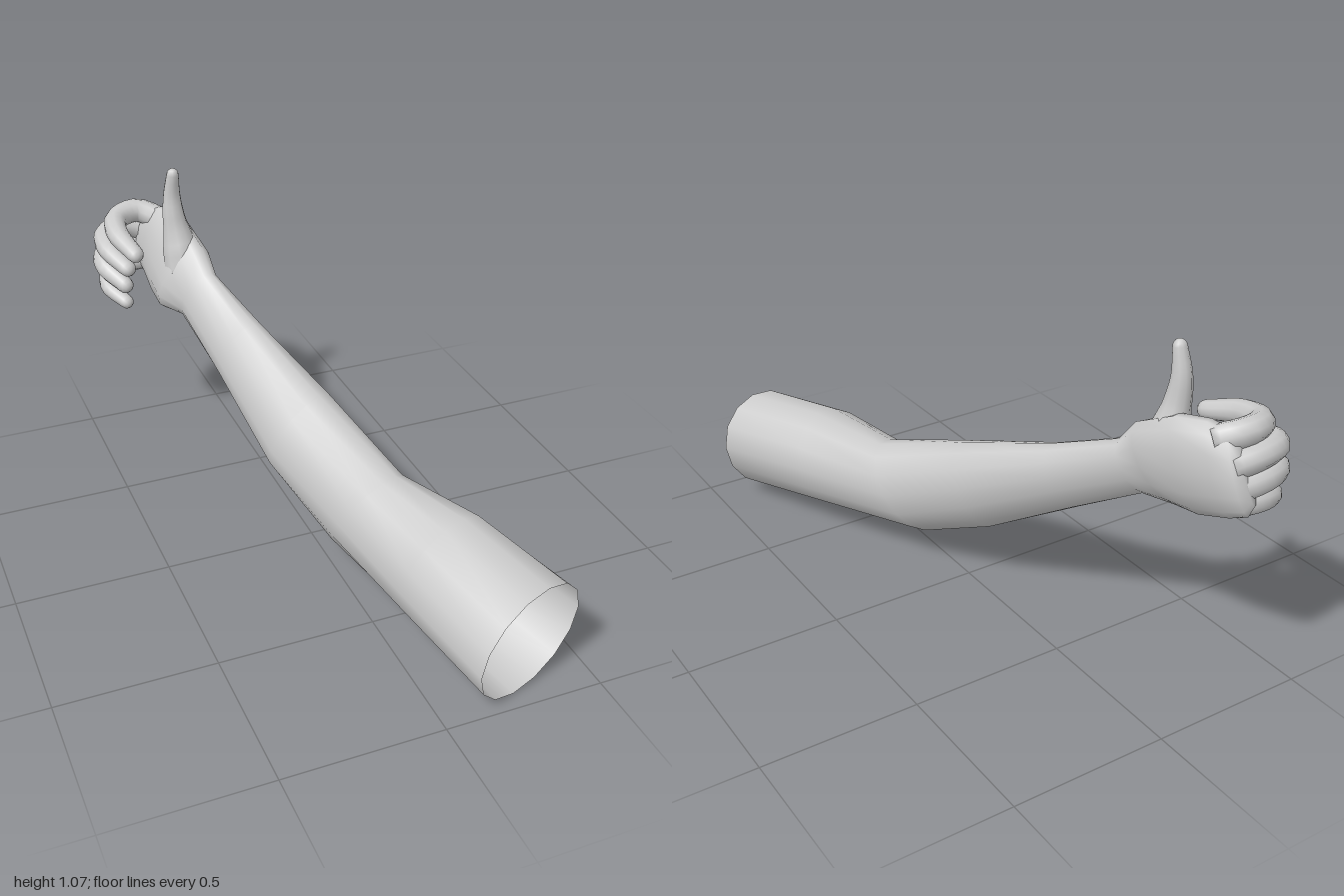
import * as THREE from 'three';

const material = new THREE.MeshStandardMaterial({ color: 0xcccccc, side: THREE.DoubleSide });

// Skin through elliptical rings: each ring is [centre, side half-axis, up half-axis]
function loft(rings, sides, capStart, capEnd) {
  const pos = [], idx = [];
  for (const [c, s, u] of rings) {
    for (let j = 0; j < sides; j++) {
      const a = (j / sides) * Math.PI * 2, ca = Math.cos(a), sa = Math.sin(a);
      for (let k = 0; k < 3; k++) pos.push(c[k] + s[k] * ca + u[k] * sa);
    }
  }
  for (let i = 0; i < rings.length - 1; i++) {
    for (let j = 0; j < sides; j++) {
      const a = i * sides + j, b = i * sides + (j + 1) % sides;
      idx.push(a, a + sides, b, b, a + sides, b + sides);
    }
  }
  const cap = (ring, flip) => {
    const centre = pos.length / 3;
    pos.push(...rings[ring][0]);
    for (let j = 0; j < sides; j++) {
      const a = ring * sides + j, b = ring * sides + (j + 1) % sides;
      idx.push(centre, flip ? a : b, flip ? b : a);
    }
  };
  if (capStart) cap(0, true);
  if (capEnd) cap(rings.length - 1, false);
  const geo = new THREE.BufferGeometry();
  geo.setAttribute('position', new THREE.Float32BufferAttribute(pos, 3));
  geo.setIndex(idx);
  geo.computeVertexNormals();
  return geo;
}

// Tapering digit along a curve, with a rounded tip
function digit(points, radii, sides = 10, steps = 16) {
  const curve = new THREE.CatmullRomCurve3(points.map(p => new THREE.Vector3(...p)));
  const ts = [];
  for (let i = 0; i <= steps; i++) ts.push(i / steps);
  const frames = curve.computeFrenetFrames(steps, false);
  const rings = ts.map((t, i) => {
    const f = t * (radii.length - 1), k = Math.min(Math.floor(f), radii.length - 2);
    const r = THREE.MathUtils.lerp(radii[k], radii[k + 1], f - k);
    return [curve.getPointAt(t).toArray(),
      frames.normals[i].clone().multiplyScalar(r).toArray(),
      frames.binormals[i].clone().multiplyScalar(-r).toArray()];
  });
  // shrinking rings beyond the end round off the tip
  const [c, s, u] = rings[steps], dir = frames.tangents[steps].toArray();
  const r = radii[radii.length - 1];
  for (const a of [0.5, 0.95, 1.3]) {
    rings.push([c.map((v, k) => v + dir[k] * r * Math.sin(a)),
      s.map(v => v * Math.cos(a)), u.map(v => v * Math.cos(a))]);
  }
  return loft(rings, sides, true, true);
}

export function createModel() {
  const model = new THREE.Group();
  model.name = 'armWithRaisedThumb';
  const add = (name, geo) => {
    const mesh = new THREE.Mesh(geo, material);
    mesh.name = name;
    model.add(mesh);
  };

  // Open upper arm, elbow, forearm, wrist and palm in one skin
  add('armAndPalm', loft([
    [[0.285, 0.18, 0.945], [0.185, 0.03, -0.055], [0, 0.178, 0.015]],
    [[0.185, 0.23, 0.59], [0.167, 0.02, -0.05], [0.01, 0.17, 0.035]],
    [[0.085, 0.245, 0.25], [0.115, 0.01, -0.04], [0.04, 0.145, 0.08]],
    [[-0.01, 0.37, -0.06], [0.12, 0.03, -0.035], [0.02, 0.14, 0.05]],
    [[-0.10, 0.525, -0.38], [0.083, 0.02, -0.01], [0.02, 0.105, 0.03]],
    [[-0.17, 0.645, -0.61], [0.06, 0.01, -0.005], [0.025, 0.085, 0.03]],
    [[-0.2, 0.68, -0.685], [0.078, 0.01, 0], [0.04, 0.125, 0.05]],
    [[-0.215, 0.718, -0.79], [0.068, 0, -0.01], [0.035, 0.155, 0.03]],
    [[-0.235, 0.745, -0.89], [0.055, 0, -0.02], [0.02, 0.14, 0.04]],
    [[-0.255, 0.75, -0.945], [0.045, 0, -0.025], [0.012, 0.118, 0.04]],
    [[-0.265, 0.75, -0.965], [0.025, 0, -0.015], [0.01, 0.085, 0.03]],
  ], 14, false, true));

  // Raised thumb with a broad root
  add('thumb', digit([
    [-0.195, 0.7, -0.69], [-0.2, 0.8, -0.715], [-0.212, 0.9, -0.728],
    [-0.213, 0.97, -0.733], [-0.21, 1.05, -0.72],
  ], [0.066, 0.062, 0.042, 0.031, 0.021]));

  // Four curled fingers, each from the knuckle round to the tip
  const fingers = {
    indexFinger: [[-0.215, 0.83, -0.87], [-0.29, 0.857, -0.92], [-0.37, 0.85, -0.89],
      [-0.395, 0.835, -0.8], [-0.367, 0.8, -0.68]],
    middleFinger: [[-0.23, 0.77, -0.93], [-0.32, 0.79, -0.95], [-0.405, 0.787, -0.92],
      [-0.425, 0.77, -0.83], [-0.385, 0.73, -0.73]],
    ringFinger: [[-0.24, 0.705, -0.945], [-0.33, 0.718, -0.957], [-0.41, 0.715, -0.925],
      [-0.432, 0.695, -0.85], [-0.39, 0.655, -0.76]],
    littleFinger: [[-0.25, 0.655, -0.95], [-0.33, 0.648, -0.953], [-0.4, 0.635, -0.925],
      [-0.423, 0.612, -0.86], [-0.385, 0.58, -0.78]],
  };
  for (const [name, path] of Object.entries(fingers)) {
    const k = name === 'littleFinger' ? 0.85 : 1;
    add(name, digit(path, [0.042, 0.041, 0.039, 0.036, 0.029].map(r => r * k)));
  }
  return model;
}
